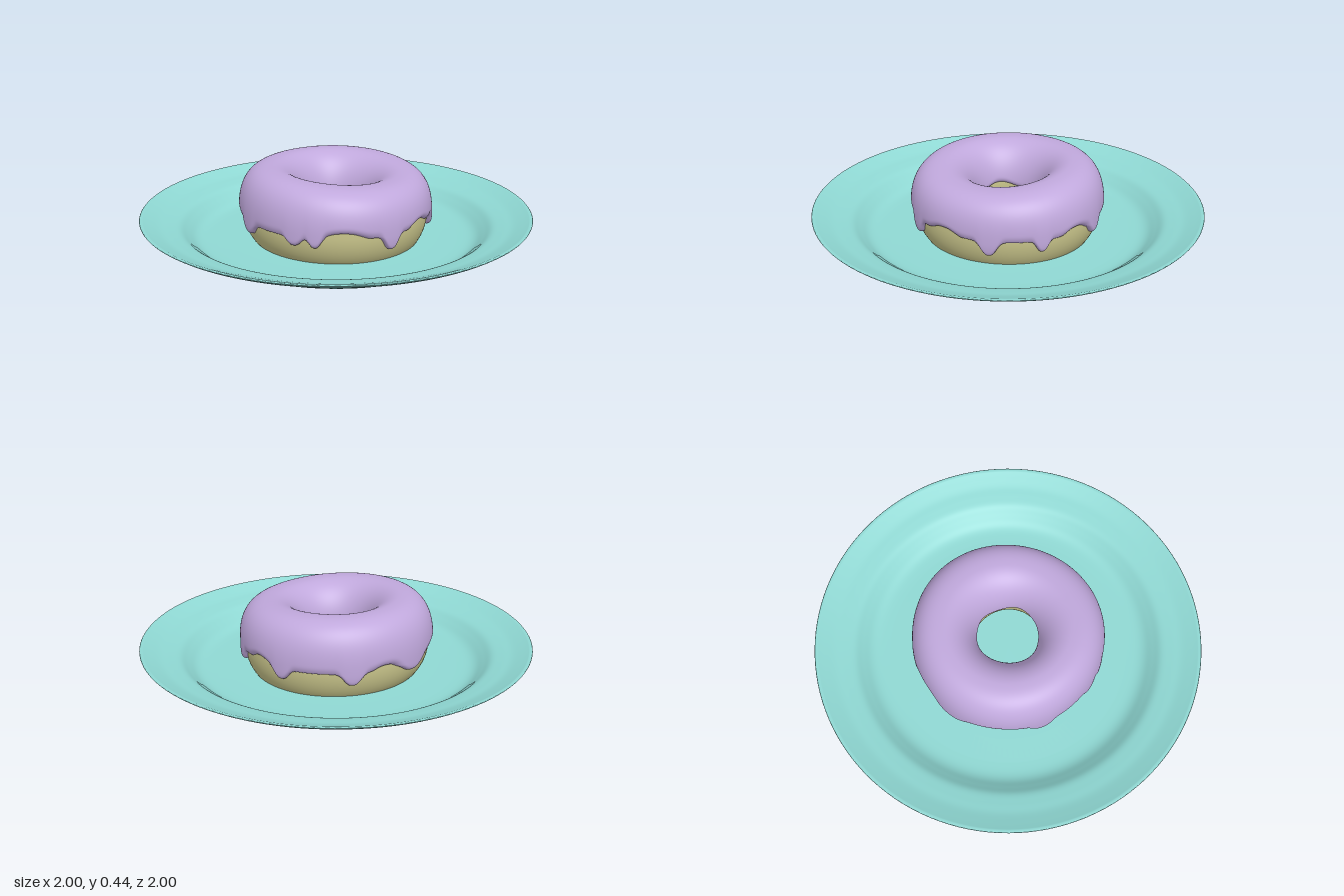
import * as THREE from 'three';

const RING = 0.325, HALF_W = 0.148, HALF_H = 0.2, MID_Y = 0.21;

// Drips on the outer edge of the icing: [angle in degrees, depth, half width in degrees]
const DRIPS = [
  [20, 0.075, 5], [74, 0.075, 5.5], [105, 0.06, 4], [145, 0.055, 5],
  [187, 0.065, 6], [228, 0.05, 9], [285, 0.06, 6], [322, 0.045, 5], [335, 0.05, 4],
];

// Shallow arches between the drips, where more dough shows
const ARCHES = [[-9, 0.025, 12], [45, 0.022, 9], [128, 0.02, 8], [208, 0.015, 8], [258, 0.012, 12]];

function bumps(phi, list) {
  let sum = 0;
  for (const [deg, height, width] of list) {
    let d = (phi * 180) / Math.PI - deg;
    d -= 360 * Math.round(d / 360);
    sum += height * Math.exp(-Math.pow(Math.abs(d) / width, 2.6));
  }
  return sum;
}

// Point on the ring: phi runs round the hole from the front, theta round the cross-section
function ringPoint(phi, theta, swell) {
  const c = Math.cos(theta), s = Math.sin(theta);
  const e = c > 0 && s > 0 ? 0.8 : 1; // squarer outer shoulder
  const r = RING + (HALF_W + swell) * Math.sign(c) * Math.pow(Math.abs(c), e)
    + 0.004 * Math.sin(3 * phi + 1) * c;
  let y = MID_Y + (HALF_H + swell) * Math.sign(s) * Math.pow(Math.abs(s), e);
  // gently uneven top and underside
  y += s > 0
    ? s * (-0.017 * Math.cos(phi - 0.87) - 0.005 * Math.cos(2 * phi - 1.75))
    : s * 0.008 * Math.sin(phi);
  return [r * Math.sin(phi), y, r * Math.cos(phi)];
}

// Surface swept round the ring; rows may close on themselves
function sweep(around, rows, closed, point) {
  const positions = [], index = [];
  for (let j = 0; j < rows; j++) {
    for (let i = 0; i < around; i++) positions.push(...point((i / around) * Math.PI * 2, j));
  }
  for (let j = 0; j < (closed ? rows : rows - 1); j++) {
    for (let i = 0; i < around; i++) {
      const i2 = (i + 1) % around, j2 = (j + 1) % rows;
      const a = j * around + i, b = j * around + i2, c = j2 * around + i2, d = j2 * around + i;
      index.push(a, b, c, a, c, d);
    }
  }
  const g = new THREE.BufferGeometry();
  g.setAttribute('position', new THREE.Float32BufferAttribute(positions, 3));
  g.setIndex(index);
  g.computeVertexNormals();
  return g;
}

function doughGeometry() {
  const rows = 56;
  return sweep(128, rows, true, (phi, j) => ringPoint(phi, (j / rows) * Math.PI * 2, 0));
}

function icingGeometry() {
  const rows = 64;
  const angleAt = (y) => Math.asin((y - MID_Y) / (HALF_H + 0.02));
  return sweep(360, rows, false, (phi, j) => {
    const s = 0.5 - 0.5 * Math.cos((Math.PI * j) / (rows - 1));
    const drip = bumps(phi, DRIPS);
    const outer = angleAt(0.203 + bumps(phi, ARCHES) - drip);
    const inner = Math.PI - angleAt(0.222 + 0.012 * Math.sin(3 * phi) + 0.008 * Math.sin(5 * phi + 2));
    const theta = outer + (inner - outer) * s;
    // rounded lip at both edges, a little fatter at the tip of a drip
    const edge = Math.min(1, Math.min(s, 1 - s) / 0.04);
    const lip = Math.sqrt(1 - (1 - edge) * (1 - edge));
    const fat = 0.08 * drip * Math.exp(-Math.pow(s / 0.12, 2));
    return ringPoint(phi, theta, -0.004 + (0.026 + fat) * lip);
  });
}

function plateGeometry() {
  const v = (a) => a.map(([x, y]) => new THREE.Vector2(x, y));
  // underside, from the flat foot to the rim
  const under = new THREE.SplineCurve(v([
    [0.64, 0.055], [0.69, 0.058], [0.73, 0.07], [0.77, 0.102],
    [0.81, 0.133], [0.86, 0.147], [0.92, 0.157], [0.97, 0.178], [0.998, 0.195],
  ])).getPoints(40);
  // upper side, from the rim back to the flat well
  const upper = new THREE.SplineCurve(v([
    [0.985, 0.2], [0.95, 0.186], [0.9, 0.168], [0.85, 0.158], [0.8, 0.145],
    [0.76, 0.115], [0.72, 0.084], [0.68, 0.07], [0.62, 0.066],
  ])).getPoints(40);
  return new THREE.LatheGeometry([
    ...v([[0, 0.055], [0.3, 0.055], [0.6, 0.055]]), ...under,
    ...v([[1, 0.198], [0.997, 0.201]]), ...upper,
    ...v([[0.5, 0.066], [0.25, 0.066], [0, 0.066]]),
  ], 128);
}

export function createModel() {
  const material = (name, color) => {
    const m = new THREE.MeshStandardMaterial({ color });
    m.name = name;
    return m;
  };
  const group = new THREE.Group();
  group.name = 'doughnutOnPlate';
  const add = (name, geometry, mat) => {
    const mesh = new THREE.Mesh(geometry, mat);
    mesh.name = name;
    group.add(mesh);
  };
  add('plate', plateGeometry(), material('teal glaze', 0x8fd8d3));
  add('dough', doughGeometry(), material('pale dough', 0xc8c48a));
  add('icing', icingGeometry(), material('lilac icing', 0xc0a8dc));
  return group;
}
